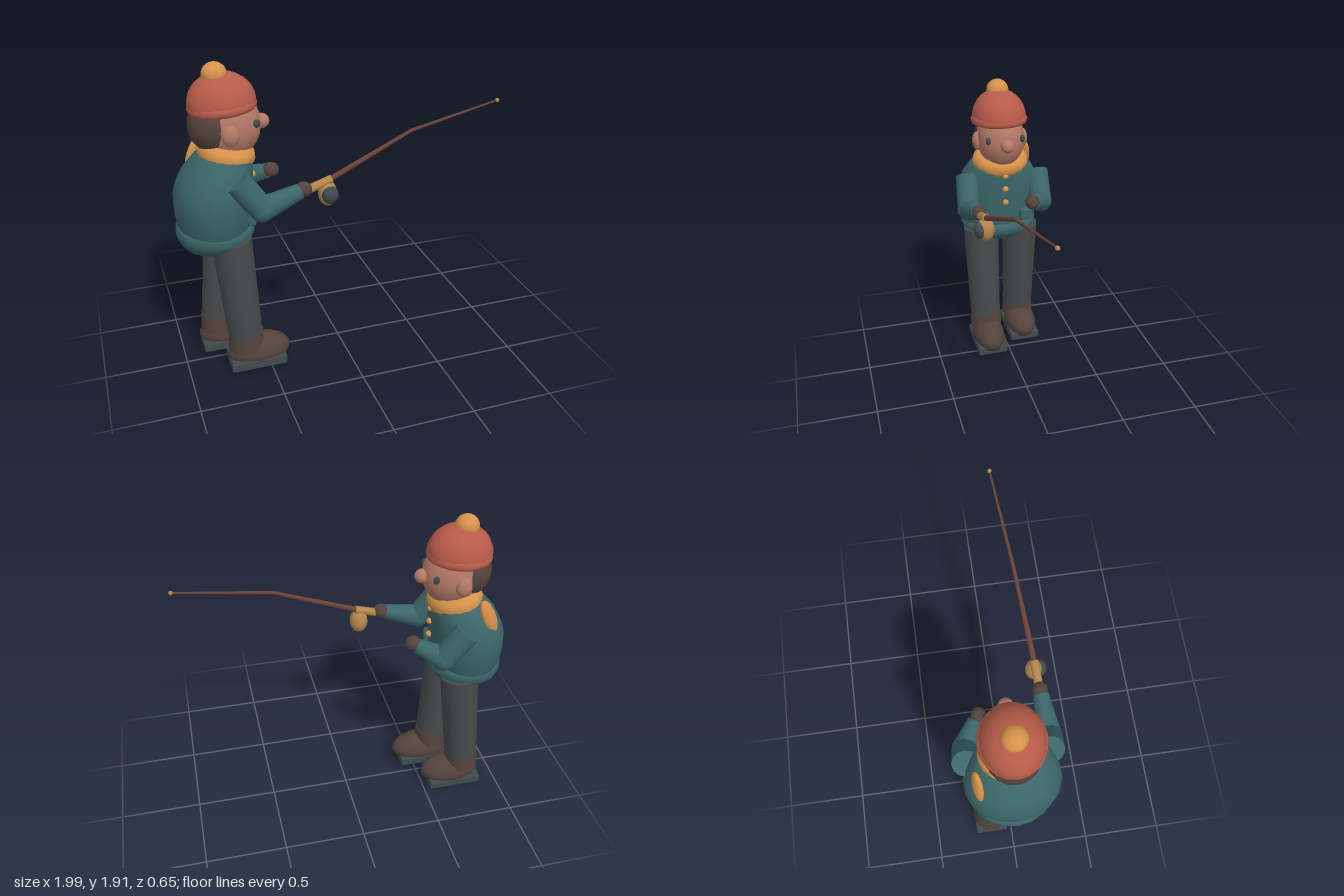
import * as THREE from 'three';
import { RoundedBoxGeometry } from 'three/addons/geometries/RoundedBoxGeometry.js';

const mat = (name, color) => {
  const m = new THREE.MeshStandardMaterial({ color });
  m.name = name;
  return m;
};
const V = (a) => new THREE.Vector3(...a);

export function createModel() {
  const teal = mat('teal wool', 0x3b6668);
  const red = mat('hat red', 0xb85c4a);
  const orange = mat('scarf orange', 0xd8934b);
  const skin = mat('skin', 0xb57a67);
  const brown = mat('dark brown', 0x54433d);
  const grey = mat('trouser grey', 0x474b4c);
  const slate = mat('slate', 0x404a4f);
  const tan = mat('reel tan', 0xb5864c);
  const wood = mat('rod wood', 0x6b4238);

  const root = new THREE.Group();
  root.name = 'angler';

  const add = (name, geo, material, pos = [0, 0, 0], parent = root) => {
    const m = new THREE.Mesh(geo, material);
    m.name = name;
    m.position.set(...pos);
    parent.add(m);
    return m;
  };
  // Ellipsoid with three radii
  const ball = (name, material, pos, r, parent = root) =>
    add(name, new THREE.SphereGeometry(1, 16, 12).scale(...r), material, pos, parent);
  // Tapered cylinder between two points
  const limb = (name, material, a, b, ra, rb, parent = root, sides = 12) => {
    const d = V(b).sub(V(a));
    const m = add(name, new THREE.CylinderGeometry(rb, ra, d.length(), sides), material, [0, 0, 0], parent);
    m.position.copy(V(a).addScaledVector(d, 0.5));
    m.quaternion.setFromUnitVectors(new THREE.Vector3(0, 1, 0), d.normalize());
    return m;
  };
  // Closed body from elliptical rings [y, centre x, radius x, radius z]
  const loft = (name, material, rings) => {
    const n = 18, pos = [], idx = [];
    rings.forEach(([y, cx, rx, rz]) => {
      for (let i = 0; i < n; i++) {
        const a = (i / n) * Math.PI * 2;
        pos.push(cx + rx * Math.cos(a), y, rz * Math.sin(a));
      }
    });
    for (let k = 0; k < rings.length - 1; k++) {
      for (let i = 0; i < n; i++) {
        const a = k * n + i, b = k * n + (i + 1) % n;
        idx.push(a, a + n, b, b, a + n, b + n);
      }
    }
    const g = new THREE.BufferGeometry();
    g.setAttribute('position', new THREE.Float32BufferAttribute(pos, 3));
    g.setIndex(idx);
    g.computeVertexNormals();
    return add(name, g, material);
  };

  // Jumper body, leaning forward at the neck
  loft('jumper', teal, [
    [0.92, -0.765, 0.205, 0.245], [0.98, -0.765, 0.217, 0.265], [1.06, -0.765, 0.227, 0.28],
    [1.15, -0.762, 0.23, 0.283], [1.22, -0.748, 0.221, 0.272], [1.29, -0.728, 0.205, 0.245],
    [1.36, -0.695, 0.178, 0.205], [1.41, -0.68, 0.14, 0.155], [1.43, -0.675, 0.001, 0.001],
  ]);
  loft('jumperHem', teal, [
    [0.78, -0.795, 0.001, 0.001], [0.795, -0.79, 0.1, 0.11], [0.825, -0.78, 0.17, 0.185],
    [0.87, -0.767, 0.215, 0.238], [0.9, -0.763, 0.23, 0.255], [0.935, -0.763, 0.232, 0.258],
    [0.96, -0.763, 0.215, 0.25], [0.965, -0.763, 0.18, 0.2],
  ]);
  [1.32, 1.23, 1.135].forEach((y) => ball('button', orange, [-0.525, y, 0], [0.02, 0.02, 0.02]));

  [1, -1].forEach((s) => {
    // Pockets
    const pocket = add('pocket', new RoundedBoxGeometry(0.05, 0.085, 0.088, 2, 0.016), teal, [-0.568, 1.022, s * 0.145]);
    pocket.rotation.y = -s * 0.3;

    // Legs and boots, left foot and right foot staggered
    const leg = new THREE.Group();
    leg.name = s > 0 ? 'forwardLeg' : 'rearLeg';
    root.add(leg);
    const x = s > 0 ? -0.64 : -0.765;
    const z = s * 0.133;
    limb('trouserLeg', grey, [x, 0.2, z], [-0.695, 0.9, s * 0.137], 0.105, 0.12, leg, 16);
    add('bootCuff', new THREE.CylinderGeometry(0.106, 0.113, 0.12, 16), brown, [x, 0.2, z], leg);
    ball('boot', brown, [x + 0.075, 0.108, z], [0.2, 0.105, 0.11], leg);
    add('sole', new RoundedBoxGeometry(0.35, 0.062, 0.21, 1, 0.012), slate, [x + 0.06, 0.05, z], leg);

    // Ears and eyes
    ball('ear', skin, [-0.665, 1.53, s * 0.15], [0.05, 0.062, 0.034]);
    ball('eye', slate, [-0.508, 1.575, s * 0.112], [0.02, 0.024, 0.016]);
  });

  // Arms: shoulder, elbow, wrist, hand
  const arm = (name, sh, el, wr, hand) => {
    const g = new THREE.Group();
    g.name = name;
    root.add(g);
    limb('upperArm', teal, sh, el, 0.08, 0.074, g);
    ball('elbow', teal, el, [0.075, 0.075, 0.075], g);
    limb('forearm', teal, el, wr, 0.073, 0.046, g);
    ball('hand', brown, hand, [0.05, 0.046, 0.046], g);
  };
  arm('rodArm', [-0.66, 1.29, 0.225], [-0.53, 1.115, 0.25], [-0.3, 1.188, 0.235], [-0.28, 1.195, 0.233]);
  arm('freeArm', [-0.67, 1.28, -0.25], [-0.54, 1.115, -0.245], [-0.4, 1.17, -0.16], [-0.378, 1.182, -0.142]);

  // Head
  ball('head', skin, [-0.645, 1.55, 0], [0.185, 0.2, 0.156]);
  ball('hair', brown, [-0.735, 1.56, 0], [0.145, 0.16, 0.148]);
  ball('nose', skin, [-0.456, 1.55, 0], [0.046, 0.044, 0.044]);

  // Knitted hat tipped slightly back
  const hat = new THREE.Group();
  hat.name = 'hat';
  hat.position.set(-0.677, 1.675, 0);
  hat.rotation.z = 0.06;
  root.add(hat);
  add('hatDome', new THREE.SphereGeometry(1, 18, 8, 0, Math.PI * 2, 0, Math.PI / 2).scale(0.197, 0.177, 0.174),
    red, [0, 0.005, 0], hat);
  const brim = new THREE.TorusGeometry(0.165, 0.03, 8, 20).rotateX(Math.PI / 2).scale(1.02, 1, 0.945);
  add('hatBrim', brim, red, [0, -0.008, 0], hat);
  ball('pompom', orange, [-0.022, 0.172, 0], [0.072, 0.068, 0.072], hat);

  // Scarf ring drooping at the front, with a tail behind
  const ring = new THREE.TorusGeometry(0.125, 0.055, 10, 18).rotateX(Math.PI / 2).scale(0.94, 1.1, 1.04);
  add('scarf', ring, orange, [-0.67, 1.385, 0]).rotation.z = -0.2;
  const tail = ball('scarfTail', orange, [-0.818, 1.34, -0.203], [0.048, 0.125, 0.024]);
  tail.rotation.set(0.16, 0.4, -0.4, 'YXZ');

  // Fishing rod
  const rod = new THREE.Group();
  rod.name = 'fishingRod';
  root.add(rod);
  limb('rodHandle', tan, [-0.33, 1.165, 0.236], [-0.11, 1.232, 0.224], 0.026, 0.026, rod, 10);
  const joint = [0.4, 1.452, 0.175], tip = [0.985, 1.56, 0.12];
  limb('lowerRod', wood, [-0.13, 1.227, 0.225], joint, 0.018, 0.011, rod, 8);
  ball('rodJoint', wood, joint, [0.011, 0.011, 0.011], rod);
  limb('upperRod', wood, joint, tip, 0.011, 0.006, rod, 8);
  ball('rodTip', tan, tip, [0.013, 0.013, 0.013], rod);
  ball('reel', tan, [-0.135, 1.148, 0.225], [0.056, 0.076, 0.056], rod);
  ball('reelSpool', slate, [-0.13, 1.15, 0.26], [0.05, 0.054, 0.04], rod);

  return root;
}
